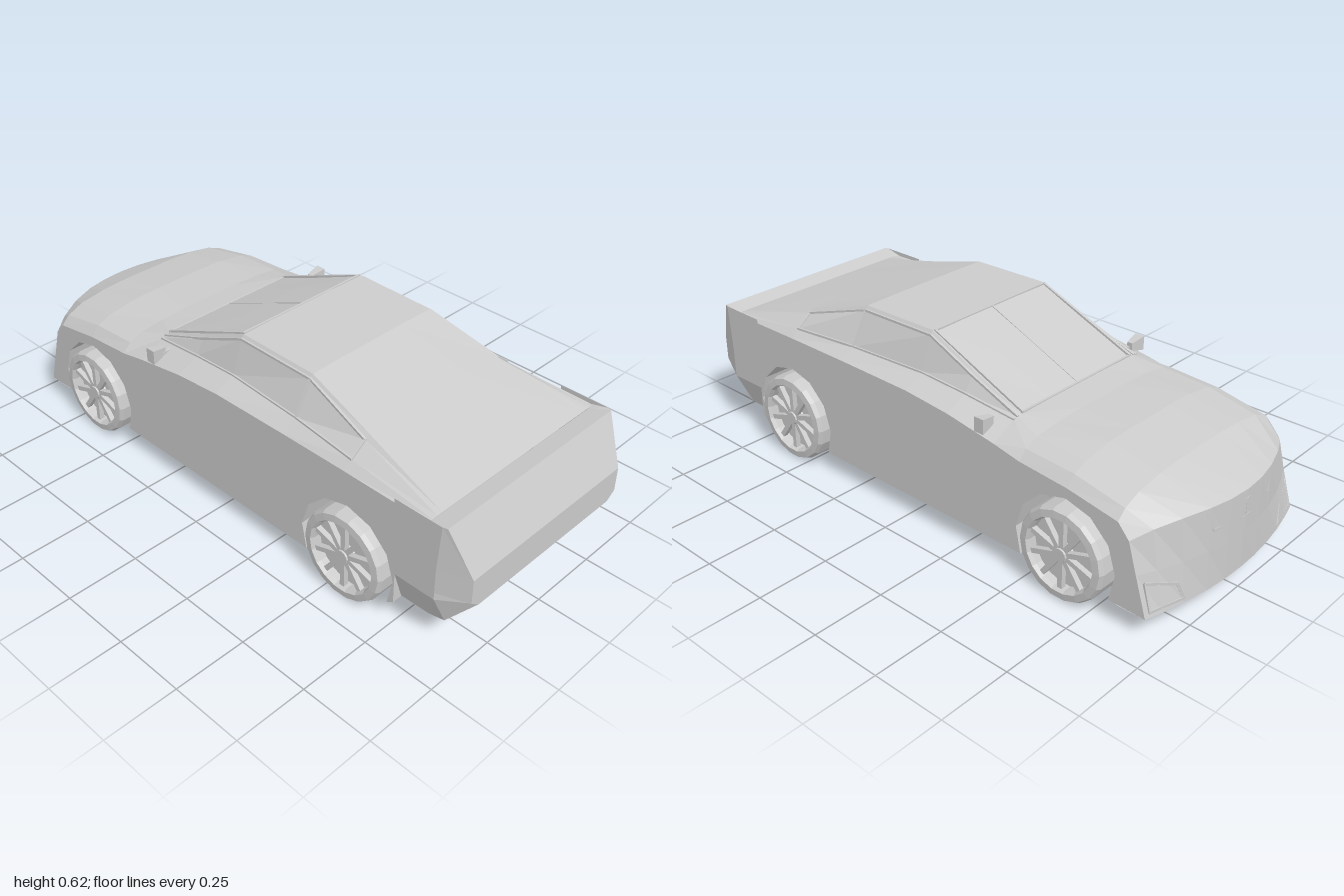
import * as THREE from 'three';

const grey = new THREE.MeshStandardMaterial({ color: 0xcccccc, flatShading: true, side: THREE.DoubleSide });

function add(parent, name, geometry) {
  const mesh = new THREE.Mesh(geometry, grey);
  mesh.name = name;
  parent.add(mesh);
  return mesh;
}

// Skin over rows of [x, y, z]; each row lists its half from the centre outwards
function loft(halfRows) {
  const rows = halfRows.map(r => [...r.slice(1).reverse().map(([x, y, z]) => [-x, y, z]), ...r]);
  const n = rows[0].length, index = [];
  for (let i = 0; i < rows.length - 1; i++) {
    for (let j = 0; j < n - 1; j++) {
      const a = i * n + j, d = a + n;
      index.push(a, d, d + 1, a, d + 1, a + 1);
    }
  }
  const g = new THREE.BufferGeometry();
  g.setAttribute('position', new THREE.Float32BufferAttribute(rows.flat(2), 3));
  g.setIndex(index);
  const flat = g.toNonIndexed();
  flat.computeVertexNormals();
  return flat;
}

// Thin trim strips joining a line of points
function trim(parent, name, points, size = 0.008) {
  const group = new THREE.Group();
  group.name = name;
  for (let i = 0; i < points.length - 1; i++) {
    const a = new THREE.Vector3(...points[i]), b = new THREE.Vector3(...points[i + 1]);
    const bar = add(group, name + 'Strip', new THREE.BoxGeometry(size, size, a.distanceTo(b) + size / 2));
    bar.position.copy(a).add(b).multiplyScalar(0.5);
    bar.lookAt(b);
  }
  parent.add(group);
}

const REAR = 0.565, FRONT = -0.645, AXLE = 0.155;

// z, centre height, then roof edge, window top, window bottom and shoulder as x, y
const stations = [
  [-1.00, 0.345, 0.16, 0.345, 0.25, 0.34, 0.33, 0.325, 0.39, 0.30],
  [-0.83, 0.42, 0.20, 0.415, 0.30, 0.40, 0.36, 0.375, 0.39, 0.345],
  [-0.65, 0.45, 0.20, 0.447, 0.31, 0.43, 0.36, 0.41, 0.39, 0.375],
  [-0.47, 0.455, 0.22, 0.45, 0.31, 0.44, 0.36, 0.42, 0.39, 0.39],
  [-0.37, 0.465, 0.27, 0.463, 0.285, 0.46, 0.30, 0.455, 0.39, 0.41],
  [-0.18, 0.546, 0.27, 0.541, 0.28, 0.53, 0.31, 0.478, 0.39, 0.44],
  [0.00, 0.62, 0.265, 0.618, 0.275, 0.605, 0.315, 0.49, 0.39, 0.455],
  [0.30, 0.615, 0.265, 0.613, 0.275, 0.60, 0.335, 0.49, 0.39, 0.458],
  [0.55, 0.545, 0.29, 0.54, 0.305, 0.525, 0.36, 0.485, 0.39, 0.458],
  [0.86, 0.457, 0.33, 0.457, 0.35, 0.457, 0.37, 0.456, 0.39, 0.455],
];
const noseZ = (x, bow) => -1 + bow * (x / 0.39) ** 2;
const point = (s, k) => [s[2 * k], s[2 * k + 1], s[0]];

function upperBody(car) {
  const rows = stations.map((s, i) => {
    const xs = [[0, s[1]], [s[2] * 0.5, s[1]]];
    for (let k = 1; k <= 4; k++) xs.push([s[2 * k], s[2 * k + 1]]);
    return xs.map(([x, y]) => [x, y, i === 0 ? noseZ(x, 0.13) : s[0]]);
  });
  // Nose face, curved in plan, then tucked under to the floor
  const face = [[0.20, 0.10], [0.07, 0.06]].map(([y, bow]) => rows[0].map(([x]) => [x, y, noseZ(x, bow)]));
  const under = rows[0].map(([x]) => [x, 0.07, -0.84]);
  add(car, 'upperBody', loft([under, face[1], face[0], ...rows]));
}

function sidePanels(car) {
  const shape = new THREE.Shape();
  const arch = (centre) => {
    for (let i = 0; i <= 8; i++) {
      const a = -0.46 + (Math.PI + 0.92) * i / 8;
      const y = Math.max(0.07, AXLE + 0.185 * Math.sin(a));
      shape.lineTo(centre - 0.185 * Math.cos(a), y);
    }
  };
  shape.moveTo(-0.94, 0.07);
  arch(FRONT);
  arch(REAR);
  shape.lineTo(0.755, 0.09);
  shape.lineTo(0.755, 0.456);
  for (const s of [...stations].reverse().slice(1, -1)) shape.lineTo(s[0], s[9]);
  shape.lineTo(-0.87, 0.30);
  shape.lineTo(-0.90, 0.20);
  for (const x of [0.39, -0.255]) {
    const g = new THREE.ExtrudeGeometry(shape, { depth: 0.135, bevelEnabled: false });
    g.rotateY(-Math.PI / 2);
    g.translate(x, 0, 0);
    add(car, 'sidePanel', g);
  }
  add(car, 'floor', new THREE.BoxGeometry(0.51, 0.29, 1.6)).position.set(0, 0.215, -0.06);
}

function rearBumper(car) {
  // y, side x, side z, rear face x, rear face z
  const levels = [
    [0.455, 0.39, 0.85, 0.37, 0.86],
    [0.47, 0.39, 0.91, 0.385, 0.925],
    [0.31, 0.39, 0.90, 0.35, 1.0],
    [0.225, 0.39, 0.90, 0.35, 1.0],
    [0.20, 0.39, 0.90, 0.315, 1.0],
    [0.095, 0.355, 0.86, 0.345, 0.91],
  ];
  const rows = levels.map(([y, sx, sz, fx, fz]) => [[0, y, fz], [fx, y, fz], [sx, y, sz], [sx, y, 0.74]]);
  rows.push(rows[5].map(([x]) => [x, 0.09, 0.74]));
  add(car, 'rearBumper', loft(rows));
}

function wheel(z, side) {
  const g = new THREE.Group();
  g.name = 'wheel';
  const profile = [[0.118, 0], [0.148, 0], [0.155, 0.012], [0.155, 0.12], [0.148, 0.135],
    [0.125, 0.138], [0.118, 0.125], [0.118, 0]].map(([r, y]) => new THREE.Vector2(r, y));
  add(g, 'tyre', new THREE.LatheGeometry(profile, 18));
  add(g, 'rimDisc', new THREE.CylinderGeometry(0.119, 0.119, 0.02, 18)).position.y = 0.09;
  add(g, 'hub', new THREE.CylinderGeometry(0.022, 0.03, 0.035, 12)).position.y = 0.115;
  for (let i = 0; i < 10; i++) {
    const spoke = new THREE.BoxGeometry(0.1, 0.018, 0.017);
    spoke.translate(0.067, 0.118, 0);
    spoke.rotateY(i * Math.PI / 5);
    add(g, 'spoke', spoke);
  }
  g.rotation.z = -side * Math.PI / 2;
  g.position.set(side * 0.278, AXLE, z);
  return g;
}

export function createModel() {
  const car = new THREE.Group();
  car.name = 'car';
  upperBody(car);
  sidePanels(car);
  rearBumper(car);

  for (const side of [-1, 1]) {
    car.add(wheel(FRONT, side), wheel(REAR, side));
    const flip = ([x, y, z]) => [side * x, y, z];

    // Side window surround
    const glass = stations.slice(4, 9);
    const loop = [...glass.map(s => point(s, 2)), ...[...glass].reverse().map(s => point(s, 3))];
    trim(car, 'sideWindowFrame', loop.map(flip));
    trim(car, 'doorPillar', [point(stations[7], 2), point(stations[7], 3)].map(flip));
    trim(car, 'windscreenPillar', [[0.262, 0.467, -0.37], [0.258, 0.617, -0.005]].map(flip));

    // Door mirror on a short stalk
    const mirror = new THREE.CylinderGeometry(0.018, 0.032, 0.055, 4);
    mirror.rotateY(Math.PI / 4);
    mirror.rotateZ(side * Math.PI / 2);
    mirror.scale(1, 1.1, 0.8);
    add(car, 'mirror', mirror).position.set(side * 0.368, 0.452, -0.315);
    trim(car, 'mirrorStalk', [[0.29, 0.45, -0.3], [0.35, 0.445, -0.31]].map(flip), 0.014);

    // Corner intake in the front bumper
    const vent = [[0.25, 0.085], [0.27, 0.14], [0.37, 0.17], [0.37, 0.085], [0.25, 0.085]];
    trim(car, 'bumperVent', vent.map(([x, y]) => flip([x, y, noseZ(x, 0.06 + (y - 0.07) * 0.3) + 0.003])), 0.009);
  }

  // Windscreen rails and centre divider
  trim(car, 'windscreenTop', [[-0.26, 0.617, -0.005], [0.26, 0.617, -0.005]]);
  trim(car, 'windscreenBase', [[-0.265, 0.464, -0.37], [0.265, 0.464, -0.37]]);
  trim(car, 'windscreenDivider', [[0, 0.464, -0.37], [0, 0.618, -0.005]], 0.006);

  // Grille surround and centre bar
  const grille = [[-0.17, 0.325], [0, 0.31], [0.17, 0.325], [0.14, 0.265], [0, 0.25], [-0.14, 0.265], [-0.17, 0.325]];
  trim(car, 'grille', grille.map(([x, y]) => [x, y, noseZ(x, 0.1 + (y - 0.2) * 0.3) + 0.003]), 0.009);
  trim(car, 'grilleBar', [[0, 0.25, -0.997], [0, 0.31, -0.997]], 0.007);
  return car;
}
